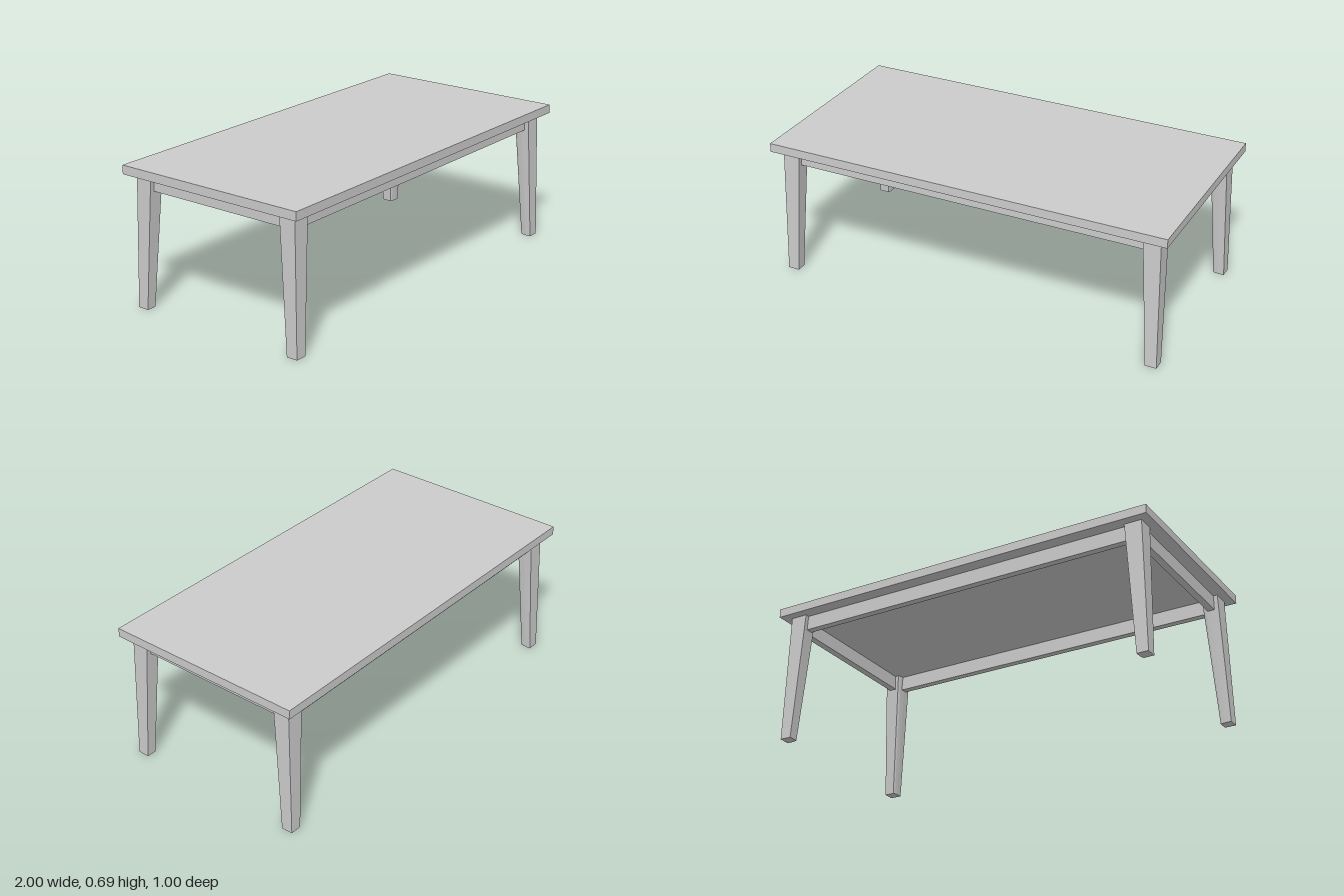
import * as THREE from 'three';

const material = new THREE.MeshStandardMaterial({ color: 0xcccccc, flatShading: true });

function box(name, w, h, d, x, y, z) {
  const mesh = new THREE.Mesh(new THREE.BoxGeometry(w, h, d), material);
  mesh.name = name;
  mesh.position.set(x, y, z);
  return mesh;
}

// Leg section in its own square (0 = inner side, 1 = outer side), with the outer corner eased.
const section = [[0, 0], [1, 0], [1, 0.87], [0.85, 0.955], [0.5, 1], [0, 1]]
  .map(([x, z]) => new THREE.Vector2(x, z));

const TOP_Y = 0.645;
const top = { inner: [0.871, 0.371], size: 0.085 };
const foot = { inner: [0.913, 0.413], size: 0.056 };

// Tapered, splayed leg: the section is extruded and fitted between foot and top squares.
// Each leg is the same section turned by a quarter turn about its own axis.
function leg(name, sx, sz, turns) {
  const geo = new THREE.ExtrudeGeometry(new THREE.Shape(section), { depth: 1, bevelEnabled: false });
  geo.translate(-0.5, -0.5, 0);
  geo.rotateX(-Math.PI / 2); // extrusion goes up; section y becomes -z
  geo.rotateY(-Math.PI / 2); // eased corner now faces +x +z
  geo.rotateY(Math.PI);
  const p = geo.attributes.position;
  // Settle the eased corner on +x +z, then turn it to the leg's corner.
  geo.rotateY(turns * Math.PI / 2);
  for (let i = 0; i < p.count; i++) {
    const t = p.getY(i);
    const size = THREE.MathUtils.lerp(foot.size, top.size, t);
    const cx = THREE.MathUtils.lerp(foot.inner[0] + foot.size / 2, top.inner[0] + top.size / 2, t);
    const cz = THREE.MathUtils.lerp(foot.inner[1] + foot.size / 2, top.inner[1] + top.size / 2, t);
    p.setXYZ(i, sx * cx + p.getX(i) * size, t * TOP_Y, sz * cz + p.getZ(i) * size);
  }
  geo.computeVertexNormals();
  const mesh = new THREE.Mesh(geo, material);
  mesh.name = name;
  return mesh;
}

export function createModel() {
  const table = new THREE.Group();
  table.name = 'table';

  table.add(box('tableTop', 2, 0.043, 1, 0, TOP_Y + 0.0215, 0));

  // Aprons between the legs
  const h = 0.072, y = TOP_Y - h / 2, thick = 0.035;
  for (const s of [1, -1]) {
    table.add(box(s > 0 ? 'frontApron' : 'backApron', 1.78, h, thick, 0, y, s * 0.418));
    table.add(box(s > 0 ? 'leftApron' : 'rightApron', thick, h, 0.78, s * 0.918, y, 0));
  }

  // Legs, turned so the eased corner always faces outward
  table.add(leg('frontLeftLeg', 1, 1, 0));
  table.add(leg('backLeftLeg', 1, -1, 1));
  table.add(leg('backRightLeg', -1, -1, 2));
  table.add(leg('frontRightLeg', -1, 1, 3));
  return table;
}
